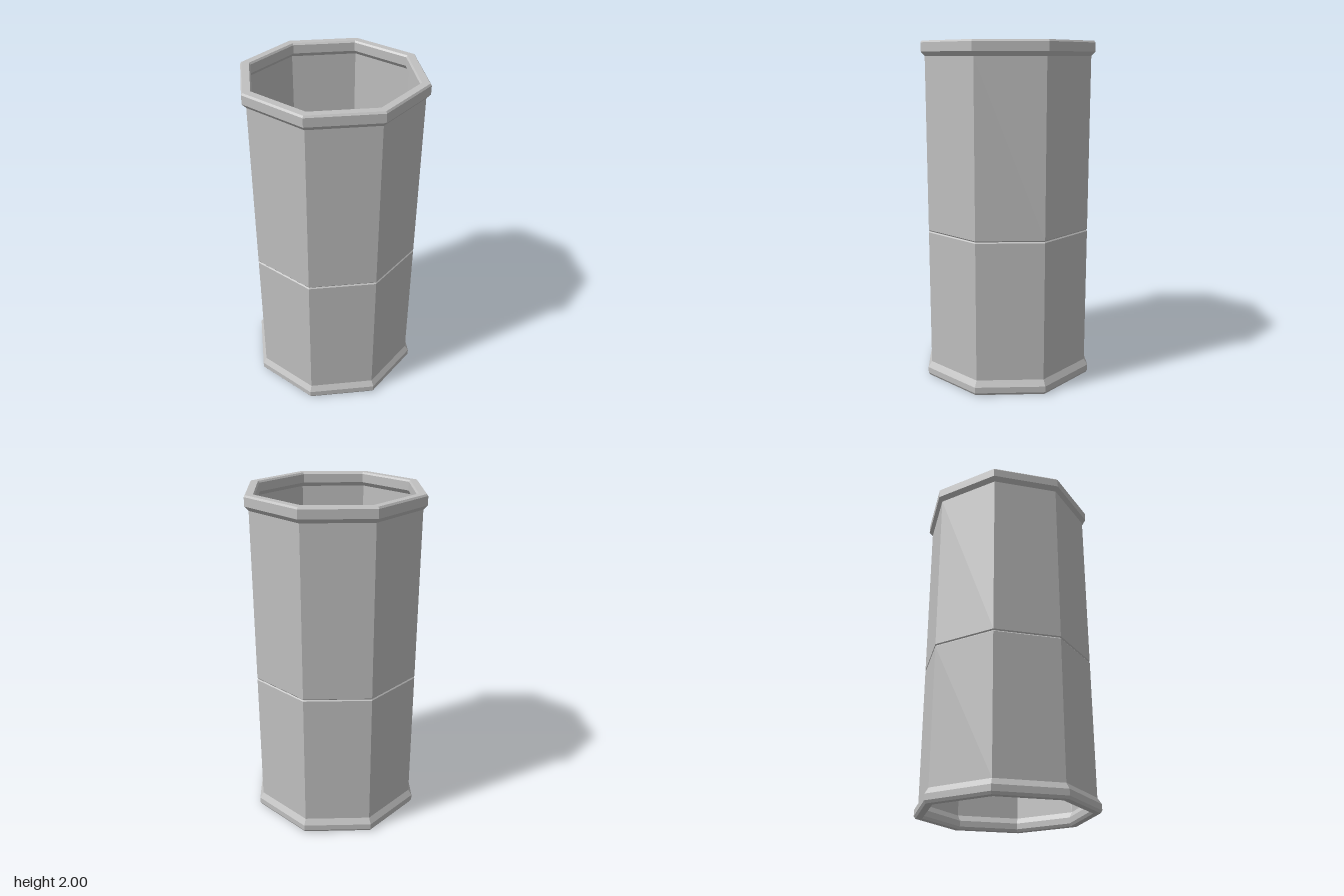
import * as THREE from 'three';

const SIDES = 8;
const MID = 0.5;    // radius of the middle of the wall
const WALL = 0.007; // half thickness of the plain wall
const LIP = 0.03;   // half thickness of the thickened ends

// Octagonal ring from [radius, height] points, with crisp facets
function ring(name, points, material) {
  const profile = points.map(([r, y]) => new THREE.Vector2(r, y));
  const geometry = new THREE.LatheGeometry(profile, SIDES).toNonIndexed();
  geometry.computeVertexNormals();
  const mesh = new THREE.Mesh(geometry, material);
  mesh.name = name;
  return mesh;
}

// Mirrors [offset, height] points across the wall: up the outside, down the inside
function bothFaces(half) {
  const outside = half.map(([d, y]) => [MID + d, y]);
  const inside = half.map(([d, y]) => [MID - d, y]).reverse();
  return [...outside, ...inside];
}

export function createModel() {
  const group = new THREE.Group();
  group.name = 'octagonalTube';
  const grey = new THREE.MeshStandardMaterial({ color: 0xc0c0c0 });
  grey.name = 'light grey';

  // Flared foot, closed underneath
  const foot = bothFaces([[LIP - 0.01, 0], [LIP, 0.015], [LIP, 0.05], [WALL, 0.085]]);
  const footLoop = [...foot.slice(4), ...foot.slice(0, 4)];
  group.add(ring('foot', footLoop, grey));

  // Wall sections, the outside chamfered where they meet in a shallow groove
  const seam = 0.907;
  const outer = MID + WALL;
  const groove = outer - 0.006;
  group.add(ring('lowerWall', [[outer, 0.085], [outer, seam - 0.007], [groove, seam]], grey));
  group.add(ring('upperWall', [[groove, seam], [outer, seam + 0.007], [outer, 1.915]], grey));
  group.add(ring('innerWall', [[MID - WALL, 1.915], [MID - WALL, 0.085]], grey));

  // Thickened rim with bevelled top edges
  group.add(ring('rim', bothFaces([[WALL, 1.915], [LIP, 1.94], [LIP, 1.99], [LIP - 0.008, 2]]), grey));

  return group;
}
